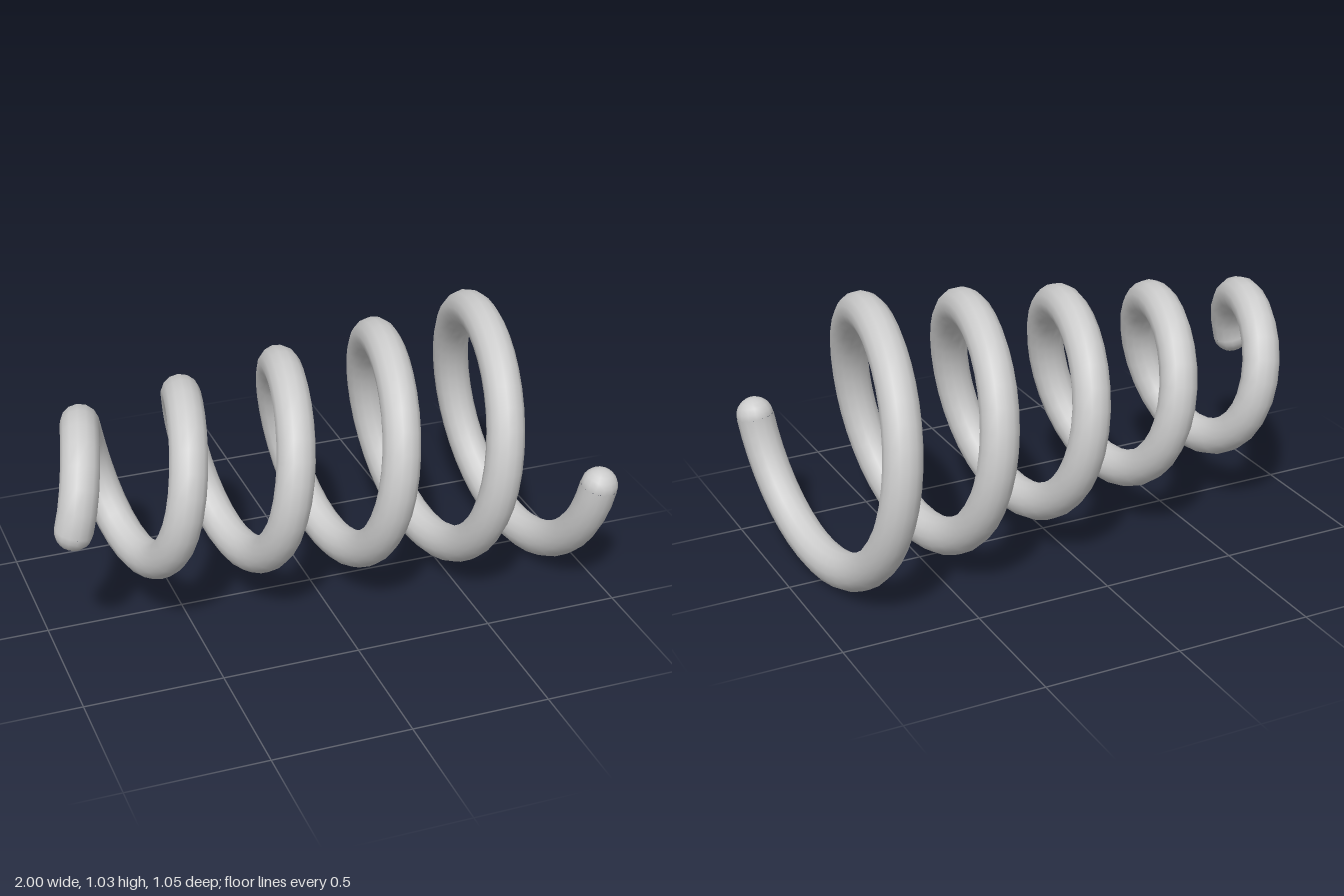
import * as THREE from 'three';

const WIRE = 0.068; // wire radius
const TURNS = 4.98;

// Helix along x whose radius widens steadily from right to left
class ConicalHelix extends THREE.Curve {
  getPoint(u, target = new THREE.Vector3()) {
    const t = u * TURNS;
    const a = t * Math.PI * 2;
    const r = 0.234 + 0.0475 * t;
    return target.set(-0.934 + 0.375 * t, 0.527 + r * Math.sin(a), -0.008 + r * Math.cos(a));
  }
}

export function createModel() {
  const group = new THREE.Group();
  group.name = 'coilSpring';
  const material = new THREE.MeshStandardMaterial({ color: 0xcccccc });
  const path = new ConicalHelix();

  // Coiled wire
  const coil = new THREE.Mesh(new THREE.TubeGeometry(path, 160, WIRE, 14, false), material);
  coil.name = 'coil';
  group.add(coil);

  // Rounded wire ends, domes pointing outward along the wire
  const up = new THREE.Vector3(0, 1, 0);
  for (const [name, u, dir] of [['smallEndCap', 0, -1], ['largeEndCap', 1, 1]]) {
    const dome = new THREE.SphereGeometry(WIRE, 14, 5, 0, Math.PI * 2, 0, Math.PI / 2);
    const cap = new THREE.Mesh(dome, material);
    cap.name = name;
    cap.position.copy(path.getPoint(u));
    cap.quaternion.setFromUnitVectors(up, path.getTangent(u).multiplyScalar(dir));
    group.add(cap);
  }
  return group;
}
